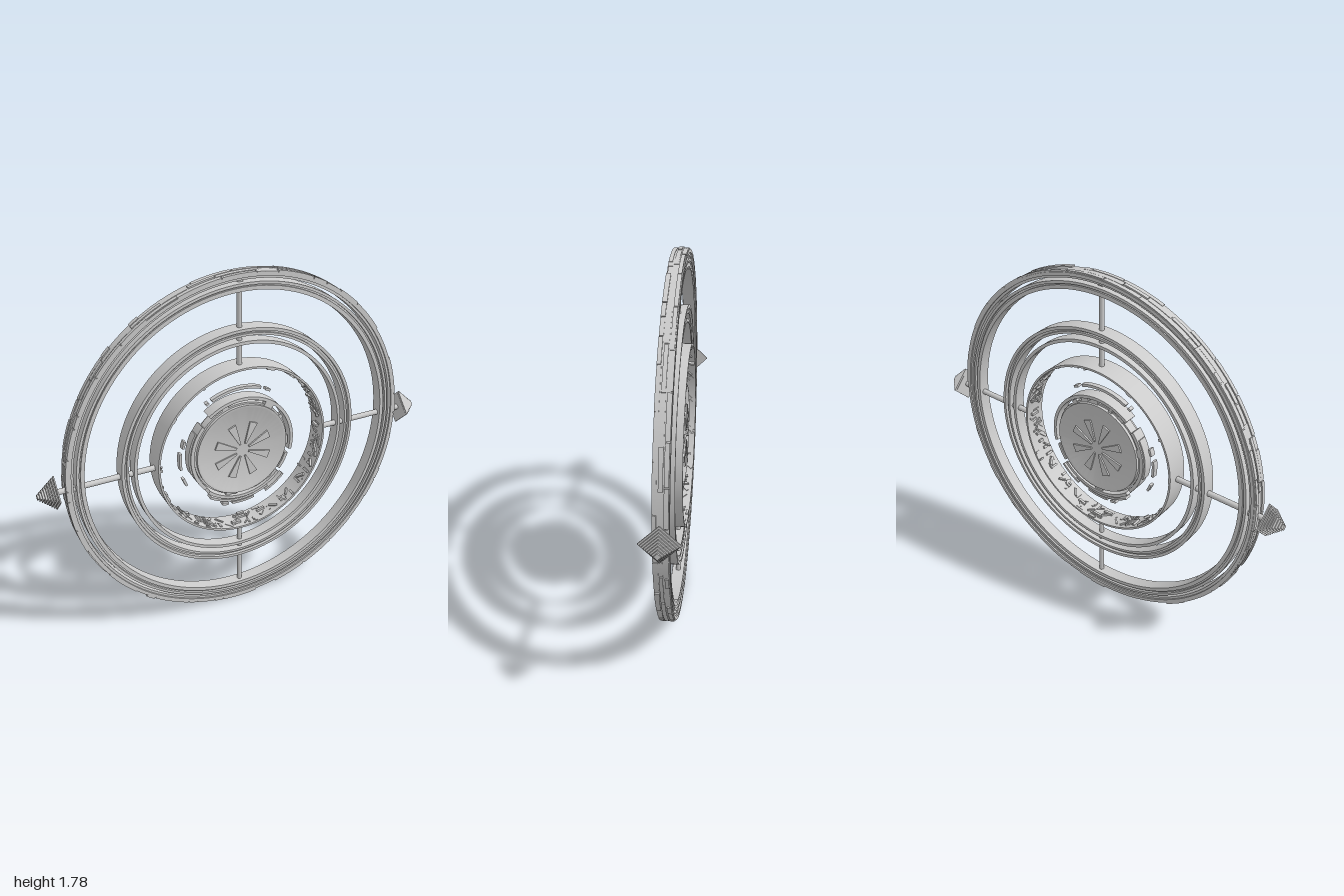
import * as THREE from 'three';
import { mergeGeometries, toCreasedNormals } from 'three/addons/utils/BufferGeometryUtils.js';

const CENTER_Y = 0.9;
const OVAL = 0.979; // the large rings are slightly narrower than tall

export function createModel() {
  const model = new THREE.Group();
  const body = new THREE.Group();
  body.name = 'gyroscope';
  body.position.y = CENTER_Y;
  model.add(body);
  const material = new THREE.MeshStandardMaterial({ color: 0xcccccc });

  let seed = 7;
  const rand = (a = 0, b = 1) => {
    seed = (seed * 16807) % 2147483647;
    return a + (b - a) * (seed / 2147483647);
  };

  const add = (name, geometry, parent = body) => {
    const mesh = new THREE.Mesh(geometry, material);
    mesh.name = name;
    parent.add(mesh);
    return mesh;
  };

  // Ring turned from a counter-clockwise (radius, depth) section
  const ring = (name, section, oval = 1) => {
    const pts = [...section, section[0]].map(([r, z]) => new THREE.Vector2(r, z));
    const geo = new THREE.LatheGeometry(pts, 128).rotateX(Math.PI / 2);
    const mesh = add(name, toCreasedNormals(geo, 0.5));
    mesh.scale.x = oval;
    return mesh;
  };

  // Section symmetric in depth: steps of [inner radius, outer radius, half depth]
  const stepped = (steps) => {
    const front = [];
    for (const [r0, r1, h] of steps) front.push([r0, h], [r1, h]);
    return [...front.map(([r, h]) => [r, -h]), ...front.reverse()];
  };

  // Curved block covering an arc
  const arcBlock = (r0, r1, a0, a1, z0, z1) => {
    const shape = new THREE.Shape();
    shape.absarc(0, 0, r1, a0, a1, false);
    shape.absarc(0, 0, r0, a1, a0, true);
    const curveSegments = Math.max(2, Math.ceil((a1 - a0) / 0.06));
    return new THREE.ExtrudeGeometry(shape, { depth: z1 - z0, bevelEnabled: false, curveSegments })
      .translate(0, 0, z0);
  };

  // Outer hoop with a plated rim, and the hoop nested inside it
  ring('outerHoop', stepped([[0.856, 0.868, 0.028], [0.868, 0.884, 0.036], [0.884, 0.888, 0.032]]), OVAL);
  ring('nestedHoop', stepped([[0.803, 0.822, 0.03], [0.822, 0.83, 0.022], [0.83, 0.843, 0.034]]), OVAL);
  const plates = [];
  for (const [z0, z1] of [[-0.036, -0.013], [-0.011, 0.011], [0.013, 0.036]]) {
    for (let a = 0; a < Math.PI * 2 - 0.1;) {
      const span = Math.min(rand(0.05, 0.26), Math.PI * 2 - a);
      const inset = rand(0, 0.006);
      if (rand() < 0.8) {
        plates.push(arcBlock(0.88, rand(0.889, 0.895), a, a + span - 0.006, z0 + inset, z1));
      }
      a += span;
    }
  }
  add('outerHoopPlates', mergeGeometries(plates)).scale.x = OVAL;

  // Hoops holding the outer hoop to the rim of the nested one
  for (let i = 0; i < 4; i++) {
    const a = i * Math.PI / 2;
    add('hoopBridge', arcBlock(0.838, 0.862, a - 0.015, a + 0.015, -0.012, 0.012)).scale.x = OVAL;
  }

  // Middle hoops
  ring('middleHoop', stepped([[0.588, 0.6, 0.03], [0.6, 0.611, 0.02], [0.611, 0.626, 0.036]]), OVAL);
  ring('middleInnerHoop', stepped([[0.546, 0.562, 0.03]]), OVAL);

  // Drum with a smooth outside and a rough inner wall
  ring('drum', stepped([[0.432, 0.442, 0.056]]));
  const greebles = [];
  for (let i = 0; i < 170; i++) {
    const a = rand(0, Math.PI * 2);
    const height = rand(0.006, 0.016);
    const tilt = [0, Math.PI / 4, -Math.PI / 4, Math.PI / 2][Math.floor(rand(0, 4))];
    const length = rand(0.02, 0.05);
    const width = rand(0.006, 0.014);
    const reach = 0.5 * (length * Math.abs(Math.sin(tilt)) + width * Math.abs(Math.cos(tilt)));
    const z = rand(-1, 1) * (0.055 - reach);
    greebles.push(new THREE.BoxGeometry(height, length, width)
      .rotateX(tilt)
      .translate(0.435 - height / 2, 0, z)
      .rotateZ(a));
  }
  add('drumInnerPanels', mergeGeometries(greebles));

  // Core disc with a raised rim and a plain eight-ray rosette on both faces
  ring('core', [[0, -0.034], [0.222, -0.034], [0.228, -0.037], [0.238, -0.037],
    [0.238, 0.037], [0.228, 0.037], [0.222, 0.034], [0, 0.034]]);
  ring('coreBand', stepped([[0.236, 0.247, 0.022]]));
  const ray = new THREE.Shape([[0.035, -0.004], [0.15, -0.021], [0.15, 0.021], [0.035, 0.004]]
    .map(([x, y]) => new THREE.Vector2(x, y)));
  const rays = [];
  for (let i = 0; i < 8; i++) {
    rays.push(new THREE.ExtrudeGeometry(ray, { depth: 0.084, bevelEnabled: false })
      .translate(0, 0, -0.042).rotateZ((i + 0.5) * Math.PI / 4));
  }
  add('coreRosette', mergeGeometries(rays));

  // Floating arcs around the core: [inner radius, outer radius, start, end, half depth], degrees
  const arcs = [
    [0.262, 0.278, -14, 128, 0.032], [0.25, 0.268, 140, 222, 0.03], [0.258, 0.274, 228, 318, 0.032],
    [0.246, 0.262, 322, 342, 0.036], [0.312, 0.326, 70, 117, 0.012], [0.286, 0.298, 236, 300, 0.018],
    [0.312, 0.324, 296, 318, 0.014], [0.306, 0.318, 262, 284, 0.012], [0.262, 0.276, 150, 196, 0.022],
    [0.308, 0.32, 172, 188, 0.014], [0.3, 0.312, 160, 167, 0.014], [0.31, 0.322, 198, 206, 0.012],
    [0.316, 0.328, 120, 123, 0.012], [0.31, 0.322, 60, 65, 0.012], [0.308, 0.322, 252, 258, 0.014],
  ];
  const rad = THREE.MathUtils.degToRad;
  add('coreArcs', mergeGeometries(arcs.map(([r0, r1, a0, a1, h]) =>
    arcBlock(r0, r1, rad(a0), rad(a1), -h, h))));
  const coreBlocks = [];
  for (let i = 0; i < 22; i++) {
    const a = rand(0, Math.PI * 2);
    const z = rand(-0.034, 0.01);
    coreBlocks.push(arcBlock(0.236, rand(0.25, 0.262), a, a + rand(0.05, 0.2), z, z + 0.024));
  }
  add('coreBlocks', mergeGeometries(coreBlocks));

  // Four axle rods
  const rod = (name, angle, r0, r1, radius) => add(name,
    new THREE.CylinderGeometry(radius, radius, r1 - r0, 16)
      .translate(0, (r0 + r1) / 2, 0).rotateZ(angle));
  rod('topRod', 0, 0.436, 0.81, 0.012);
  rod('bottomRod', Math.PI, 0.436, 0.81, 0.012);
  rod('leftRod', -Math.PI / 2, 0.436, 0.93, 0.014);
  rod('rightRod', Math.PI / 2, 0.436, 0.93, 0.014);

  // Stepped pyramid tips made of diamond plates
  const STEPS = 9;
  const pitch = 0.09 / STEPS;
  const tipParts = [];
  for (let i = 0; i < STEPS; i++) {
    const r = 0.09 - i * 0.0092;
    tipParts.push(new THREE.CylinderGeometry(r, r, pitch * 0.6, 4)
      .translate(0, 0.91 + pitch * (i + 0.7), 0));
  }
  tipParts.push(new THREE.CylinderGeometry(0.008, 0.076, 0.085, 4).translate(0, 0.955, 0));
  const tipGeometry = mergeGeometries(tipParts.map((g) => toCreasedNormals(g, 0.3))).rotateZ(-Math.PI / 2);
  add('leftTip', tipGeometry);
  add('rightTip', tipGeometry).rotation.y = Math.PI;

  return model;
}
